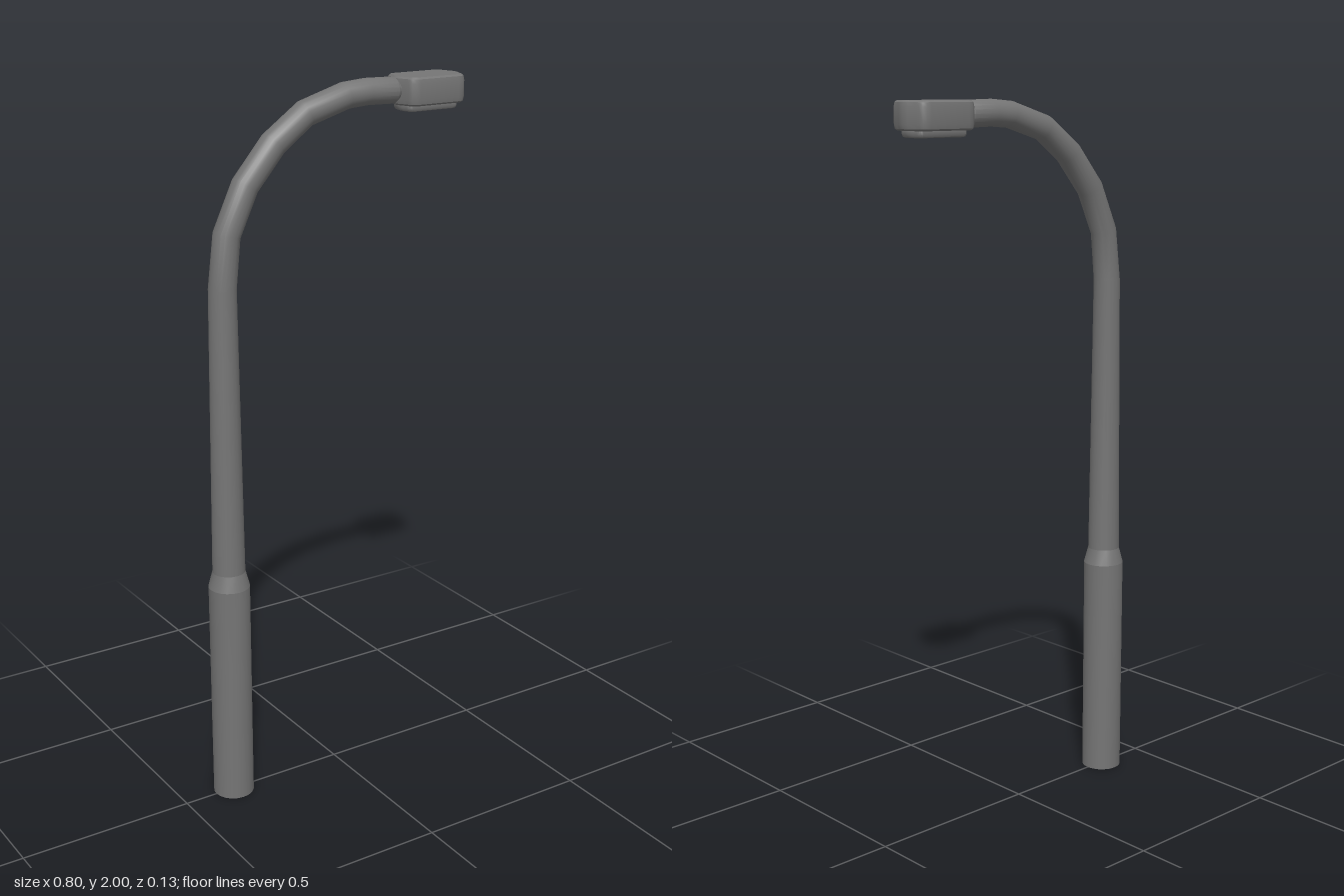
import * as THREE from 'three';
import { toCreasedNormals } from 'three/addons/utils/BufferGeometryUtils.js';

const SIDES = 20;

// Round tube through [x, y, radius] stations lying in the z = 0 plane, mitred at each bend
function sweep(stations) {
  const pos = [], index = [];
  stations.forEach(([x, y, r], i) => {
    const a = stations[Math.max(i - 1, 0)];
    const b = stations[Math.min(i + 1, stations.length - 1)];
    const t = new THREE.Vector2(b[0] - a[0], b[1] - a[1]).normalize();
    for (let k = 0; k <= SIDES; k++) {
      const u = (k % SIDES) / SIDES * Math.PI * 2;
      const c = Math.cos(u) * r;
      pos.push(x + t.y * c, y - t.x * c, -Math.sin(u) * r);
      if (i && k < SIDES) {
        const q = i * (SIDES + 1) + k, p = q - SIDES - 1;
        index.push(p, p + 1, q + 1, p, q + 1, q);
      }
    }
  });
  const geo = new THREE.BufferGeometry();
  geo.setAttribute('position', new THREE.Float32BufferAttribute(pos, 3));
  geo.setIndex(index);
  return toCreasedNormals(geo, 0.6);
}

// Rounded plan outline with gently bowed ends, centred on the origin
function outline(hx, hz, bow, corner) {
  const s = new THREE.Shape();
  const ex = hx - bow, cz = hz - corner, sx = ex - corner;
  s.moveTo(-sx, -hz);
  s.lineTo(sx, -hz);
  s.quadraticCurveTo(ex, -hz, ex, -cz);
  s.quadraticCurveTo(hx + bow, 0, ex, cz);
  s.quadraticCurveTo(ex, hz, sx, hz);
  s.lineTo(-sx, hz);
  s.quadraticCurveTo(-ex, hz, -ex, cz);
  s.quadraticCurveTo(-hx - bow, 0, -ex, -cz);
  s.quadraticCurveTo(-ex, -hz, -sx, -hz);
  return s;
}

// Horizontal slab with bevelled rims between y0 and y1
function slab(shape, y0, y1, size, thick) {
  const geo = new THREE.ExtrudeGeometry(shape, {
    depth: y1 - y0 - 2 * thick, bevelThickness: thick, bevelSize: size,
    bevelOffset: -size, bevelSegments: 2, curveSegments: 4,
  });
  geo.rotateX(-Math.PI / 2);
  geo.translate(0, y0 + thick, 0);
  return toCreasedNormals(geo, 0.6);
}

export function createModel() {
  const group = new THREE.Group();
  const grey = new THREE.MeshStandardMaterial({ color: 0x757575 });
  grey.name = 'grey metal';
  const add = (name, geo, x = 0) => {
    const mesh = new THREE.Mesh(geo, grey);
    mesh.name = name;
    mesh.position.x = x;
    group.add(mesh);
    return mesh;
  };
  const px = -0.346;

  // Thick lower sleeve with its closed foot
  add('baseSleeve', sweep([[px, 0, 0.058], [px, 0.645, 0.058]]));
  add('baseFoot', new THREE.CircleGeometry(0.058, SIDES).rotateX(Math.PI / 2), px);

  // Tapered step between sleeve and pole
  add('collar', sweep([[px, 0.645, 0.058], [px, 0.69, 0.046]]));

  // Slim pole bending over into the horizontal arm
  add('poleAndArm', sweep([
    [px, 0.69, 0.046], [px, 1.49, 0.038], [-0.33, 1.63, 0.037],
    [-0.273, 1.752, 0.037], [-0.187, 1.852, 0.037], [-0.09, 1.922, 0.036],
    [0.035, 1.959, 0.036], [0.1, 1.964, 0.036], [0.185, 1.962, 0.036],
    [0.197, 1.962, 0.028], [0.22, 1.962, 0.028],
  ]));

  // Lamp head and the lens plate under it
  add('lampHead', slab(outline(0.105, 0.066, 0.012, 0.03), 1.922, 1.998, 0.008, 0.016), 0.295);
  add('lampLens', slab(outline(0.086, 0.042, 0.006, 0.015), 1.904, 1.932, 0.01, 0.008), 0.295);

  return group;
}
